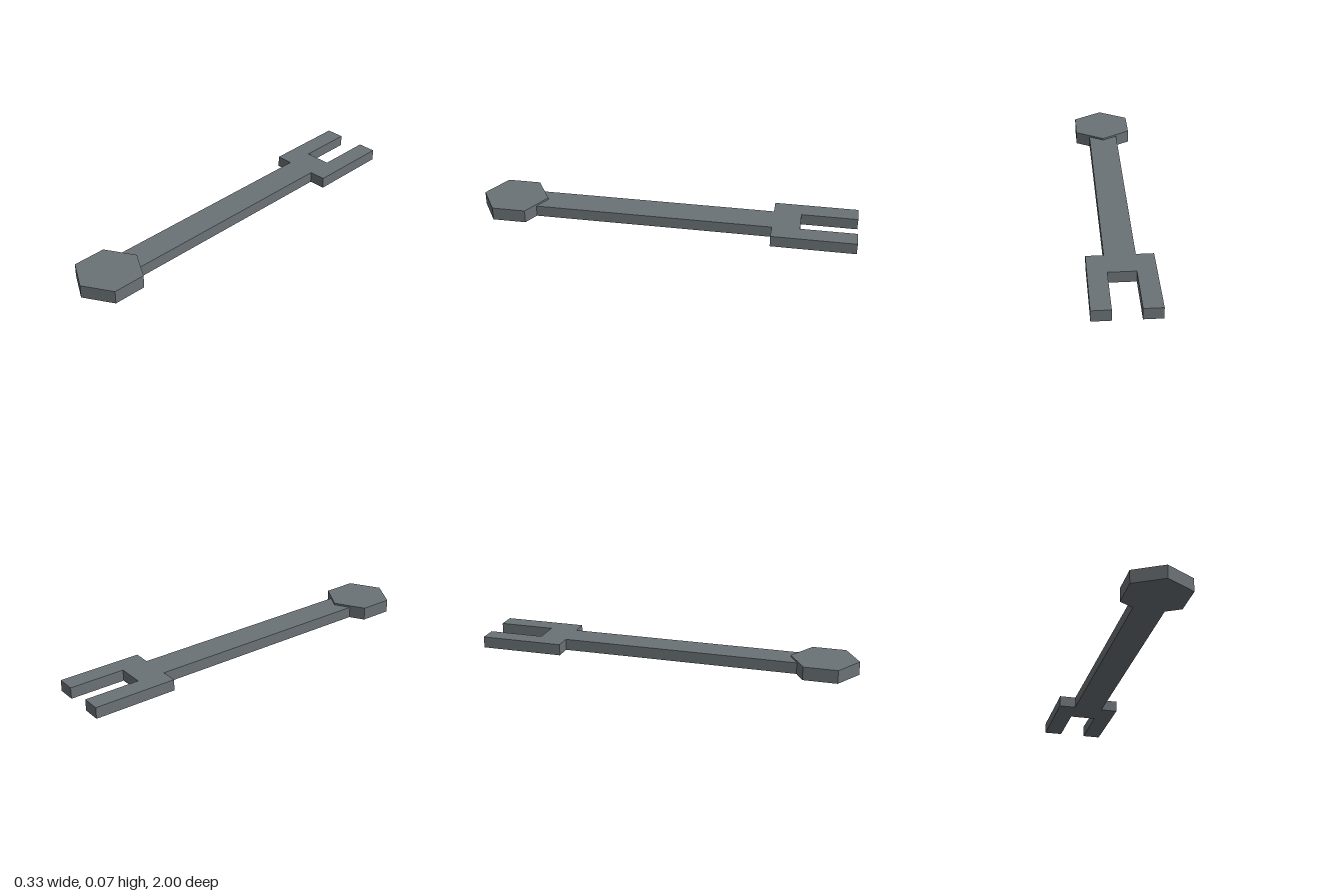
import * as THREE from 'three';

export function createModel() {
  const group = new THREE.Group();
  group.name = 'wrench';
  const steel = new THREE.MeshStandardMaterial({ color: 0x6b7276 });
  steel.name = 'steel grey';

  const headRadius = 0.176;
  const headZ = 1 - headRadius;
  const handleHalf = 0.078;
  const headTip = headZ - headRadius;

  // Right half of the outline as [x, z], from the fork notch down to the head
  const half = [
    [0.07, -0.705], [0.07, -1], [0.167, -1], [0.167, -0.56],
    [handleHalf, -0.56], [handleHalf, headTip + handleHalf / Math.sqrt(3)],
  ];
  const mirrored = half.map(([x, z]) => [-x, z]).reverse();
  const outline = [...half, [0, headTip], ...mirrored].map(([x, z]) => new THREE.Vector2(x, -z));

  // Flat handle with the open fork jaw, ending against the head
  const barGeometry = new THREE.ExtrudeGeometry(new THREE.Shape(outline), { depth: 0.06, bevelEnabled: false });
  barGeometry.rotateX(-Math.PI / 2);
  const bar = new THREE.Mesh(barGeometry, steel);
  bar.name = 'handleAndForkJaw';

  // Slightly thicker hexagonal head
  const headGeometry = new THREE.CylinderGeometry(headRadius, headRadius, 0.07, 6).toNonIndexed();
  headGeometry.computeVertexNormals();
  const head = new THREE.Mesh(headGeometry, steel);
  head.name = 'hexagonalHead';
  head.position.set(0, 0.035, headZ);

  group.add(bar, head);
  return group;
}
